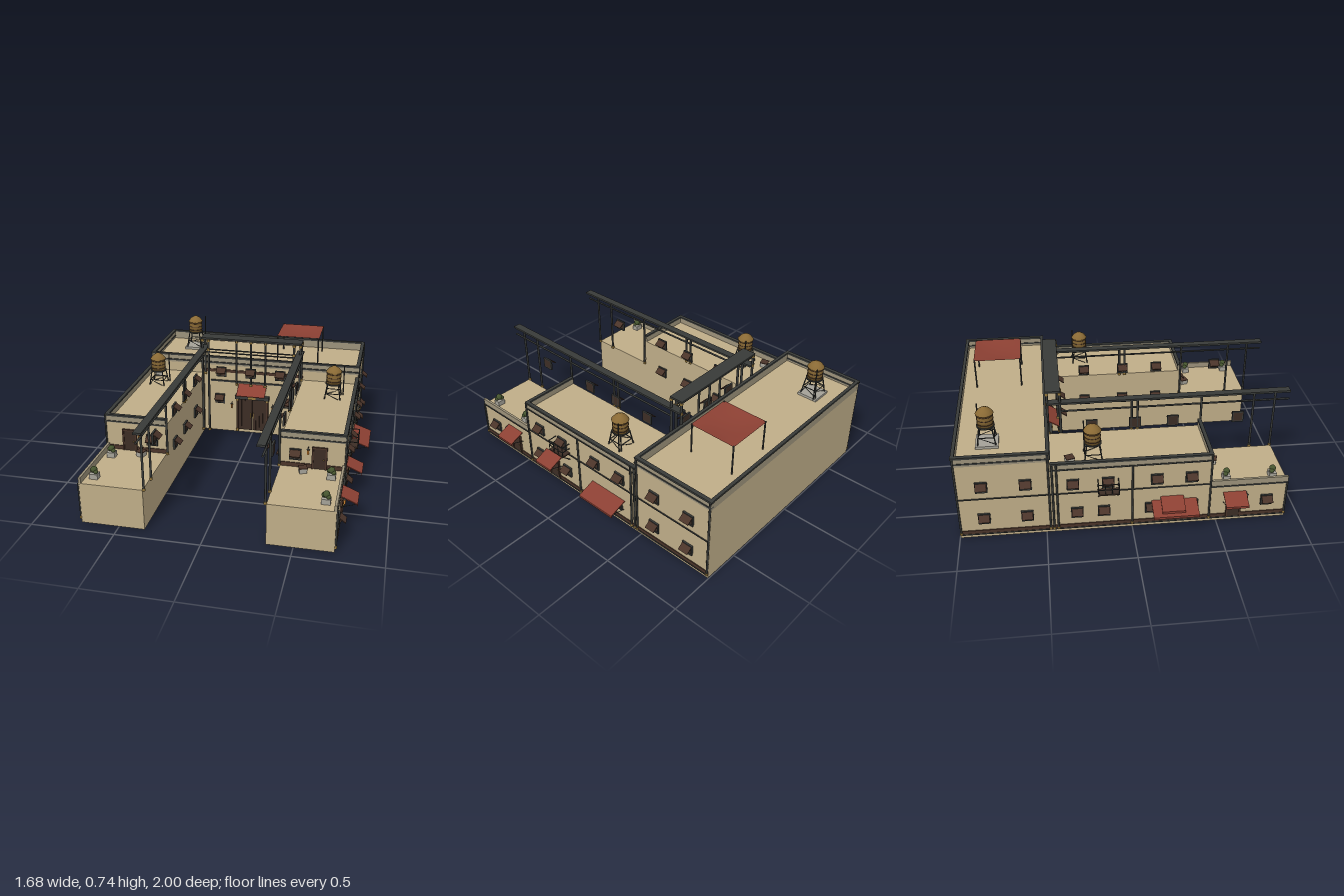
import * as THREE from 'three';

const mat = (color) => new THREE.MeshStandardMaterial({ color });
const WALL = mat(0xbfad88), PARAPET = mat(0x9c927a), DARK = mat(0x383a38), BROWN = mat(0x4a3429),
  WOOD = mat(0x3c2d25), RED = mat(0x8c4033), TANK = mat(0x8a6a35), GOLD = mat(0x94773c),
  LAMP = mat(0xd08430), GREEN = mat(0x46552f), GREY = mat(0xa5a298);
RED.side = THREE.DoubleSide;

function add(parent, name, geo, material, x = 0, y = 0, z = 0) {
  const m = new THREE.Mesh(geo, material);
  m.name = name;
  m.position.set(x, y, z);
  parent.add(m);
  return m;
}
// box given by its lower and upper limits
function span(parent, name, material, x0, x1, y0, y1, z0, z1) {
  return add(parent, name, new THREE.BoxGeometry(x1 - x0, y1 - y0, z1 - z0), material,
    (x0 + x1) / 2, (y0 + y1) / 2, (z0 + z1) / 2);
}
// straight round bar between two points
function bar(parent, name, a, b, r, material = DARK) {
  const p = new THREE.Vector3(...a), q = new THREE.Vector3(...b);
  const m = add(parent, name, new THREE.CylinderGeometry(r, r, p.distanceTo(q), 8), material);
  m.position.copy(p).add(q).multiplyScalar(0.5);
  m.quaternion.setFromUnitVectors(new THREE.Vector3(0, 1, 0), q.sub(p).normalize());
  return m;
}
// group whose local +z points away from the wall
function mount(parent, name, x, y, z, turn = 0) {
  const g = new THREE.Group();
  g.name = name;
  g.position.set(x, y, z);
  g.rotation.y = turn;
  parent.add(g);
  return g;
}

function shutterWindow(parent, x, y, z, turn) {
  const g = mount(parent, 'window', x, y, z, turn);
  span(g, 'pane', WOOD, -0.029, 0.029, -0.03, 0.03, -0.002, 0.005);
  for (const s of [-1, 1]) {
    span(g, 'frameSide', DARK, s * 0.031 - 0.004, s * 0.031 + 0.004, -0.034, 0.034, -0.002, 0.009);
    span(g, 'frameRail', DARK, -0.035, 0.035, s * 0.031 - 0.004, s * 0.031 + 0.004, -0.002, 0.009);
  }
  const hood = add(g, 'shutter', new THREE.BoxGeometry(0.064, 0.005, 0.052), BROWN, 0, 0.016, 0.023);
  hood.rotation.x = 0.65;
}

function door(parent, x, y, z, turn) {
  const g = mount(parent, 'door', x, y, z, turn);
  span(g, 'leaf', WOOD, -0.036, 0.036, 0, 0.13, 0, 0.006);
  for (const s of [-1, 1]) span(g, 'jamb', BROWN, s * 0.04 - 0.005, s * 0.04 + 0.005, 0, 0.14, 0, 0.011);
  span(g, 'head', BROWN, -0.045, 0.045, 0.13, 0.14, 0, 0.011);
  add(g, 'handle', new THREE.SphereGeometry(0.004, 8, 6), GOLD, 0.025, 0.062, 0.009);
}

function awning(parent, w, depth, x, y, z, turn) {
  const g = mount(parent, 'awning', x, y, z, turn), drop = 0.04;
  const sheet = add(g, 'cloth', new THREE.BoxGeometry(w, 0.006, Math.hypot(depth, drop)), RED, 0, -drop / 2, depth / 2);
  sheet.rotation.x = Math.atan2(drop, depth);
  span(g, 'valance', RED, -w / 2, w / 2, -drop - 0.012, -drop + 0.003, depth - 0.004, depth);
  for (const s of [-1, 1]) bar(g, 'strut', [s * w * 0.46, -0.07, 0], [s * w * 0.46, -drop, depth * 0.95], 0.002);
}

function lantern(parent, x, y, z, turn) {
  const g = mount(parent, 'lantern', x, y, z, turn);
  bar(g, 'bracket', [0, 0.025, 0], [0, 0.025, 0.022], 0.002);
  add(g, 'lamp', new THREE.CylinderGeometry(0.007, 0.006, 0.03, 8), LAMP, 0, 0.002, 0.022);
  add(g, 'cap', new THREE.ConeGeometry(0.01, 0.008, 8), DARK, 0, 0.021, 0.022);
}

function balcony(parent, x, y, z, turn) {
  const g = mount(parent, 'balcony', x, y, z, turn);
  span(g, 'floor', WOOD, -0.06, 0.06, -0.004, 0.004, 0, 0.058);
  for (const h of [0.035, 0.07]) {
    bar(g, 'frontRail', [-0.058, h, 0.056], [0.058, h, 0.056], 0.003);
    for (const s of [-1, 1]) bar(g, 'sideRail', [s * 0.058, h, 0], [s * 0.058, h, 0.056], 0.003);
  }
  for (const i of [-1, -0.33, 0.33, 1]) bar(g, 'baluster', [i * 0.058, 0, 0.056], [i * 0.058, 0.07, 0.056], 0.0025);
  for (const s of [-1, 1]) bar(g, 'brace', [s * 0.055, -0.05, 0], [s * 0.055, 0, 0.054], 0.003);
}

function waterTank(parent, x, y, z) {
  const g = mount(parent, 'waterTank', x, y, z);
  span(g, 'base', GREY, -0.065, 0.065, 0, 0.016, -0.065, 0.065);
  for (let i = 0; i < 4; i++) {
    const corner = (r, h, k) => [r * Math.SQRT2 * Math.cos((k + 0.5) * Math.PI / 2), h, r * Math.SQRT2 * Math.sin((k + 0.5) * Math.PI / 2)];
    bar(g, 'leg', corner(0.052, 0.012, i), corner(0.036, 0.12, i), 0.004);
    bar(g, 'tie', corner(0.045, 0.06, i), corner(0.045, 0.06, i + 1), 0.003);
    bar(g, 'crossBrace', corner(0.05, 0.02, i), corner(0.044, 0.06, i + 1), 0.002);
  }
  add(g, 'platform', new THREE.CylinderGeometry(0.052, 0.052, 0.008, 16), DARK, 0, 0.12, 0);
  const profile = [[0, 0.124], [0.046, 0.124], [0.047, 0.165], [0.046, 0.2], [0.052, 0.2], [0.035, 0.222], [0.01, 0.238], [0, 0.24]];
  add(g, 'barrel', new THREE.LatheGeometry(profile.map((p) => new THREE.Vector2(...p)), 16), TANK);
  for (const h of [0.14, 0.165, 0.19]) {
    const hoop = add(g, 'hoop', new THREE.TorusGeometry(0.047, 0.002, 6, 20), BROWN, 0, h, 0);
    hoop.rotation.x = Math.PI / 2;
  }
  bar(g, 'pipe', [0.062, 0, -0.045], [0.062, 0.225, -0.045], 0.004);
}

function planter(parent, x, y, z) {
  const g = mount(parent, 'planter', x, y, z);
  span(g, 'pot', GREY, -0.025, 0.025, 0, 0.032, -0.021, 0.021);
  for (const [a, h, b, r] of [[0, 0.055, 0, 0.02], [0.013, 0.044, 0.008, 0.014], [-0.013, 0.046, -0.007, 0.015]])
    add(g, 'bush', new THREE.IcosahedronGeometry(r, 1), GREEN, a, h, b);
}

function crate(parent, x, y, z, turn) {
  const g = mount(parent, 'crate', x, y, z, turn);
  span(g, 'body', GREY, -0.022, 0.022, 0, 0.028, -0.022, 0.022);
  span(g, 'lid', BROWN, -0.025, 0.025, 0.028, 0.033, -0.025, 0.025);
}

export function createModel() {
  const root = new THREE.Group();
  root.name = 'courtyardBuilding';

  // rear block with parapet on every side
  span(root, 'rearBlock', WALL, -0.725, 0.725, 0, 0.5, -0.995, -0.465);
  for (const s of [-1, 1]) {
    const x = s * 0.72;
    span(root, 'rearParapet', PARAPET, x - 0.008, x + 0.008, 0.5, 0.555, -0.995, -0.465);
    span(root, 'rearCap', DARK, x - 0.012, x + 0.012, 0.55, 0.562, -1, -0.462);
    span(root, 'rearTrim', DARK, x - 0.011, x + 0.011, 0.513, 0.523, -0.995, -0.462);
  }
  for (const z of [-0.988, -0.472]) {
    span(root, 'rearParapet', PARAPET, -0.725, 0.725, 0.5, 0.555, z - 0.007, z + 0.007);
    span(root, 'rearCap', DARK, -0.73, 0.73, 0.55, 0.562, z - 0.01, z + 0.01);
  }
  span(root, 'courtTrim', DARK, -0.73, 0.73, 0.513, 0.523, -0.466, -0.458);
  span(root, 'courtBand', BROWN, -0.35, 0.35, 0.45, 0.47, -0.466, -0.459);
  span(root, 'courtFloorTrim', DARK, -0.3, 0.3, 0.38, 0.39, -0.466, -0.455);

  // the two mirrored wings
  for (const s of [-1, 1]) {
    const wing = mount(root, s > 0 ? 'leftWing' : 'rightWing', 0, 0, 0), out = s * Math.PI / 2;
    const mx = (name, m, a, b, ...r) => span(wing, name, m, Math.min(s * a, s * b), Math.max(s * a, s * b), ...r);
    mx('midBlock', WALL, 0.348, 0.725, 0, 0.435, -0.47, 0.455);
    mx('terraceBlock', WALL, 0.348, 0.725, 0, 0.254, 0.45, 0.915);
    mx('sideParapet', PARAPET, 0.712, 0.727, 0.43, 0.475, -0.465, 0.455);
    mx('frontParapet', PARAPET, 0.348, 0.725, 0.43, 0.475, 0.443, 0.457);
    mx('terraceParapet', PARAPET, 0.712, 0.727, 0.25, 0.29, 0.455, 0.915);
    mx('sideCap', DARK, 0.708, 0.732, 0.472, 0.483, -0.465, 0.46);
    mx('frontCap', DARK, 0.348, 0.73, 0.472, 0.483, 0.44, 0.462);
    mx('frontTrim', DARK, 0.348, 0.73, 0.434, 0.442, 0.45, 0.461);
    mx('frontBand', BROWN, 0.348, 0.725, 0.254, 0.28, 0.45, 0.46);
    mx('sideTrim', DARK, 0.72, 0.731, 0.434, 0.442, -0.465, 0.46);
    mx('floorTrim', DARK, 0.72, 0.731, 0.27, 0.276, -0.995, 0.455);
    mx('terraceTrim', DARK, 0.72, 0.731, 0.245, 0.253, 0.455, 0.915);
    mx('baseBand', BROWN, 0.72, 0.73, 0.025, 0.05, -0.995, 0.915);
    mx('baseTrim', DARK, 0.72, 0.732, 0.02, 0.028, -0.995, 0.915);
    for (const [z, top] of [[0.91, 0.25], [0.455, 0.475], [0, 0.44], [-0.43, 0.475], [-0.455, 0.475], [-0.475, 0.55], [-0.99, 0.55]]) {
      bar(wing, 'downpipe', [s * 0.73, 0.03, z], [s * 0.73, top, z], 0.006);
      bar(wing, 'pipeFoot', [s * 0.73, 0.025, z], [s * 0.73, 0.04, z], 0.008, GOLD);
    }

    // outer facade
    for (const z of [0.795, 0.35, 0.11, -0.165, -0.32, -0.605, -0.85]) shutterWindow(wing, s * 0.727, 0.135, z, out);
    for (const z of [0.34, 0.14, -0.14, -0.34]) shutterWindow(wing, s * 0.727, 0.335, z, out);
    for (const z of [-0.605, -0.85]) shutterWindow(wing, s * 0.727, 0.355, z, out);
    for (const z of [0.6, 0.23]) {
      door(wing, s * 0.725, 0.025, z, out);
      awning(wing, 0.135, 0.095, s * 0.727, 0.205, z, out);
    }
    awning(wing, 0.265, 0.112, s * 0.727, 0.18, s * -0.243, out);
    balcony(wing, s * 0.725, 0.285, s * 0.14, out);
    lantern(wing, s * 0.727, 0.175, 0.67, out);

    // terrace front
    door(wing, s * 0.578, 0.254, 0.457, 0);
    shutterWindow(wing, s * 0.437, 0.337, 0.459, 0);
    lantern(wing, s * 0.512, 0.365, 0.457, 0);
    planter(wing, s * 0.66, 0.254, 0.56);
    planter(wing, s * 0.66, 0.254, 0.835);
    crate(wing, s * 0.49, 0.254, 0.515, s * 0.3);

    // courtyard facade and the gallery frame above it
    for (const z of [-0.2, 0.06, 0.29, 0.69]) shutterWindow(wing, s * 0.346, 0.478, z, -out);
    for (const z of [-0.2, 0.06, 0.29]) shutterWindow(wing, s * 0.346, 0.25, z, -out);
    mx('galleryBeam', DARK, 0.307, 0.354, 0.634, 0.646, -0.465, 1);
    bar(wing, 'galleryRail', [s * 0.34, 0.584, -0.385], [s * 0.34, 0.584, 1], 0.006);
    for (const [z, y] of [[0.91, 0.25], [0.78, 0.25], [0.46, 0.25], [0.04, 0.43], [0.075, 0.43]]) {
      bar(wing, 'galleryPost', [s * 0.342, y, z], [s * 0.342, 0.64, z], 0.007);
      bar(wing, 'postCollar', [s * 0.342, y, z], [s * 0.342, y + 0.015, z], 0.01, GOLD);
    }
    for (const [x, z, y] of [[0.295, -0.385, 0.03], [0.338, -0.385, 0.03], [0.338, -0.46, 0.43]]) {
      bar(wing, 'cornerPost', [s * x, y, z], [s * x, 0.715, z], 0.008);
      for (const h of [y, 0.63, 0.695]) bar(wing, 'collar', [s * x, h, z], [s * x, h + 0.015, z], 0.011, GOLD);
    }
    waterTank(wing, s > 0 ? 0.582 : -0.602, 0.41, -0.215);

    // courtyard end wall
    shutterWindow(wing, s * 0.235, 0.25, -0.463, 0);
    shutterWindow(wing, s * 0.205, 0.483, -0.388, 0);
    lantern(wing, s * 0.146, 0.205, -0.464, 0);
  }

  // rear gallery
  shutterWindow(root, 0, 0.483, -0.388, 0);
  span(root, 'rearGalleryBeam', DARK, -0.345, 0.345, 0.71, 0.722, -0.47, -0.38);
  for (const y of [0.64, 0.62]) bar(root, 'rearGalleryRail', [-0.34, y, -0.385], [0.34, y, -0.385], 0.005);
  for (const x of [-0.1, 0, 0.1]) {
    bar(root, 'rearGalleryPost', [x, 0.385, -0.395], [x, 0.715, -0.395], 0.007);
    for (const h of [0.385, 0.695]) bar(root, 'collar', [x, h, -0.395], [x, h + 0.015, -0.395], 0.01, GOLD);
  }

  // main gate
  const gate = mount(root, 'gate', 0, 0, -0.465);
  for (const s of [-1, 1]) {
    for (let i = 0; i < 4; i++) span(gate, 'plank', WOOD, s * (0.014 + i * 0.025) - 0.012, s * (0.014 + i * 0.025) + 0.012, 0.025, 0.265, 0, 0.012);
    span(gate, 'jamb', BROWN, s * 0.107 - 0.007, s * 0.107 + 0.007, 0.01, 0.265, 0, 0.022);
    for (const y of [0.012, 0.25]) span(gate, 'jambPlate', GOLD, s * 0.107 - 0.009, s * 0.107 + 0.009, y, y + 0.02, 0, 0.025);
    bar(gate, 'handle', [s * 0.012, 0.12, 0.016], [s * 0.012, 0.16, 0.016], 0.003, GOLD);
  }
  span(gate, 'lintel', DARK, -0.12, 0.12, 0.265, 0.292, 0, 0.03);
  span(gate, 'lintelPlate', GOLD, -0.027, 0.027, 0.27, 0.288, 0.02, 0.034);
  const hood = add(gate, 'gateAwning', new THREE.BoxGeometry(0.2, 0.006, 0.108), RED, 0, 0.342, 0.046);
  hood.rotation.x = 0.56;

  // things on the roofs
  waterTank(root, -0.5, 0.5, -0.81);
  crate(root, -0.645, 0.435, -0.35, 0.3);
  const canopy = mount(root, 'roofCanopy', 0.289, 0.5, -0.757);
  const cloth = new THREE.PlaneGeometry(0.295, 0.295, 10, 10).rotateX(-Math.PI / 2), p = cloth.attributes.position;
  for (let i = 0; i < p.count; i++) {
    const u = p.getX(i) / 0.1475, v = p.getZ(i) / 0.1475;
    p.setY(i, 0.192 - 0.016 * (1 - u * u) * (1 - v * v));
  }
  cloth.computeVertexNormals();
  add(canopy, 'cloth', cloth, RED);
  for (const a of [-1, 1]) for (const b of [-1, 1]) bar(canopy, 'post', [a * 0.142, 0, b * 0.142], [a * 0.142, 0.195, b * 0.142], 0.005);
  return root;
}
